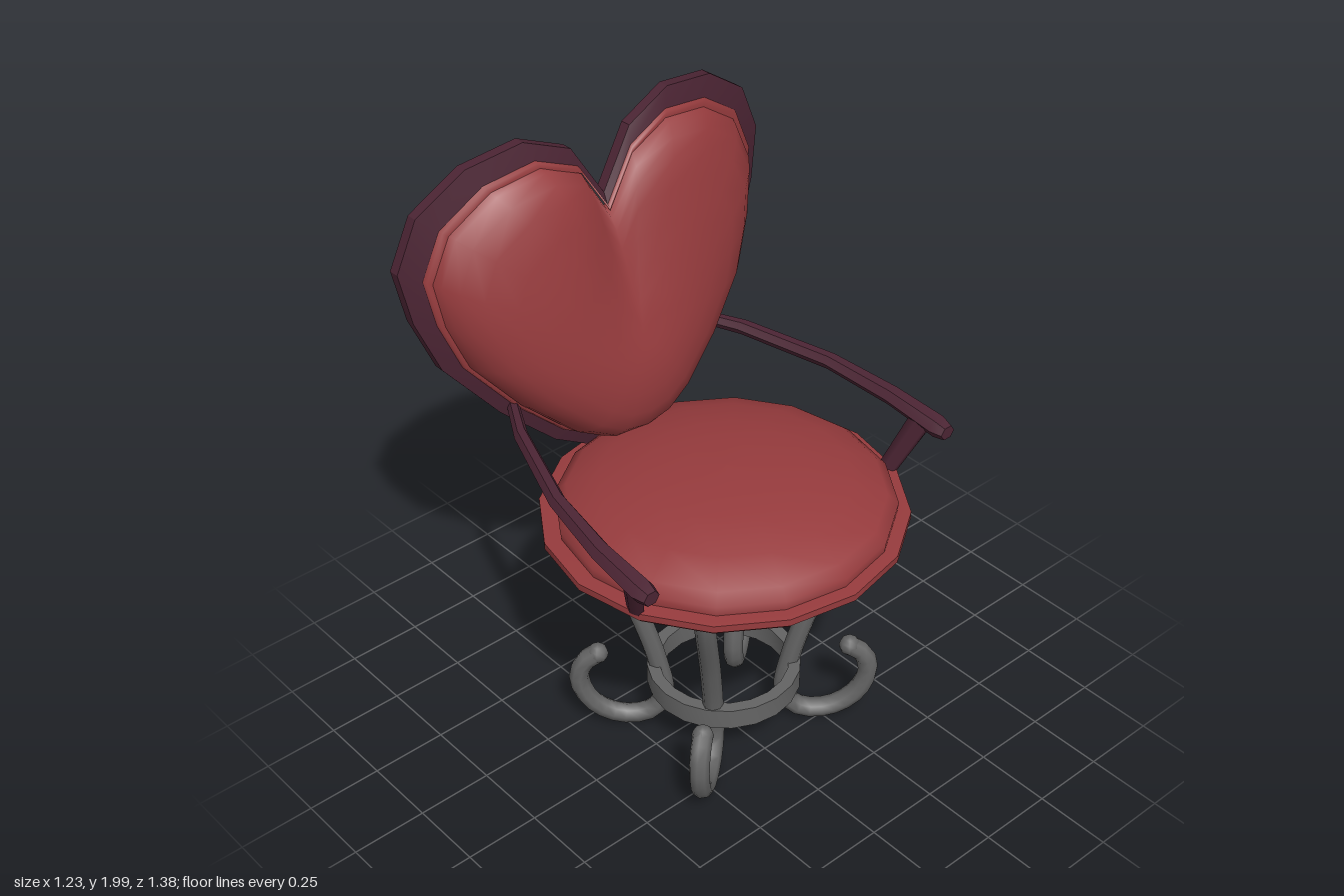
import * as THREE from 'three';
import { mergeVertices, toCreasedNormals } from 'three/addons/utils/BufferGeometryUtils.js';

const mat = (name, color) => {
  const m = new THREE.MeshStandardMaterial({ color });
  m.name = name;
  return m;
};

// Skin a list of closed rings (arrays of Vector3, counterclockwise about the direction of travel)
function loft(rings) {
  const n = rings[0].length, pos = [], idx = [];
  rings.forEach(r => r.forEach(p => pos.push(p.x, p.y, p.z)));
  for (let i = 0; i < rings.length - 1; i++) {
    for (let j = 0; j < n; j++) {
      const k = (j + 1) % n, a = i * n + j, b = i * n + k, c = b + n, d = a + n;
      idx.push(a, b, c, a, c, d);
    }
  }
  let g = new THREE.BufferGeometry();
  g.setAttribute('position', new THREE.Float32BufferAttribute(pos, 3));
  g.setIndex(idx);
  g = mergeVertices(g);
  g.computeVertexNormals();
  return g;
}

export function createModel() {
  const red = mat('red upholstery', 0x963b3d);
  const plum = mat('plum trim', 0x4b2433);
  const grey = mat('grey metal', 0x646464);
  const model = new THREE.Group();
  const add = (name, geometry, material, parent = model) => {
    const m = new THREE.Mesh(geometry, material);
    m.name = name;
    parent.add(m);
    return m;
  };
  const CX = 0.05; // centre of seat and legs
  const lathe = (pts, sides) =>
    new THREE.LatheGeometry(pts.map(p => new THREE.Vector2(...p)), sides);

  // Seat plate and domed cushion
  const plate = lathe([[0, 0.83], [0.3, 0.835], [0.555, 0.85], [0.57, 0.865], [0.57, 0.888], [0.53, 0.892], [0, 0.892]], 16);
  add('seatPlate', toCreasedNormals(plate, 0.6), red).position.x = CX;
  const dome = lathe([[0.52, 0.885], [0.525, 0.925], [0.49, 0.955], [0.39, 1.0], [0.25, 1.03], [0.12, 1.043], [0, 1.046]], 16);
  add('seatCushion', dome, red).position.x = CX + 0.008;

  // Heart outline as [z, y], mirrored across z = 0
  const half = [[0, 1.75], [0.11, 1.93], [0.27, 2.0], [0.46, 1.97], [0.62, 1.86], [0.69, 1.7],
    [0.66, 1.53], [0.59, 1.35], [0.42, 1.14], [0.24, 0.97], [0.12, 0.9], [0, 0.88]];
  const heart = [...half, ...half.slice(1, -1).reverse().map(([z, y]) => [-z, y])];
  const MID = 1.35;
  const backX = (y, z) => -0.5 - 0.035 * (y - 0.9) - 0.085 * (z / 0.69) ** 2;
  const heartRing = (s, depth, puff = false) => heart.map(([z0, y0]) => {
    const z = z0 * s, y = MID + (y0 - MID) * s;
    let d = depth;
    if (puff) {
      // fuller toward the seat, creased below the notch
      const crease = Math.exp(-((z / 0.12) ** 2)) * THREE.MathUtils.smoothstep(y, 1.2, 1.7);
      d *= (1 + 0.4 * THREE.MathUtils.clamp((1.75 - y) / 0.75, 0, 1)) * (1 - 0.4 * crease);
    }
    return new THREE.Vector3(backX(y, z) + d, y, z);
  });
  const backrest = new THREE.Group();
  backrest.name = 'backrest';
  model.add(backrest);
  add('backPanel', loft([0, 0.3, 0.6, 0.94].map(s => heartRing(s, 0))), red, backrest);
  const rim = loft([heartRing(0.94, 0), heartRing(1, 0.005), heartRing(1, 0.04), heartRing(0.9, 0.055)]);
  add('backRim', toCreasedNormals(rim, 0.5), plum, backrest);
  add('backLip', loft([heartRing(0.91, 0.05), heartRing(0.9, 0.065), heartRing(0.87, 0.065)]), red, backrest);
  const bulge = [[0.88, 0.055], [0.86, 0.085], [0.81, 0.115], [0.73, 0.143], [0.6, 0.162],
    [0.45, 0.172], [0.3, 0.176], [0.15, 0.176], [0, 0.176]];
  add('backCushion', loft(bulge.map(([s, d]) => heartRing(s, d, true))), red, backrest);

  // Armrests: six-sided tapering bars, each with a slanted post
  const hexRing = (x, y, z, h, w) => Array.from({ length: 6 }, (_, i) => {
    const a = (i + 0.5) * Math.PI / 3;
    return new THREE.Vector3(x, y + h * Math.cos(a), z + w * Math.sin(a));
  });
  // x, y, z, half height, half width
  const bar = [[-0.49, 1.155, 0.38, 0, 0], [-0.49, 1.155, 0.38, 0.022, 0.022], [-0.36, 1.145, 0.45, 0.025, 0.025],
    [-0.06, 1.118, 0.55, 0.027, 0.028], [0.18, 1.093, 0.585, 0.03, 0.034], [0.37, 1.073, 0.592, 0.034, 0.04],
    [0.41, 1.07, 0.592, 0.024, 0.028], [0.41, 1.07, 0.592, 0, 0]];
  for (const side of [1, -1]) {
    const arm = new THREE.Group();
    arm.name = side > 0 ? 'leftArmrest' : 'rightArmrest';
    model.add(arm);
    const rings = bar.map(([x, y, z, h, w]) => hexRing(x, y, z * side, h, w));
    add('armBar', toCreasedNormals(loft(rings), 0.6), plum, arm);
    const from = new THREE.Vector3(0.24, 0.885, 0.515 * side), to = new THREE.Vector3(0.31, 1.075, 0.58 * side);
    const dir = to.clone().sub(from);
    const post = add('armPost', new THREE.CylinderGeometry(0.04, 0.032, dir.length(), 6), plum, arm);
    post.geometry.scale(1, 1, 0.65);
    post.position.copy(from).add(to).multiplyScalar(0.5);
    post.quaternion.setFromUnitVectors(new THREE.Vector3(0, 1, 0), dir.normalize());
  }

  // Ring that ties the legs together
  const ring = lathe([[0.21, 0.19], [0.25, 0.19], [0.25, 0.262], [0.21, 0.262], [0.21, 0.19]], 20);
  add('legRing', toCreasedNormals(ring, 0.6), grey).position.x = CX;

  // Four legs with hooked feet, path as [distance from centre, height]
  const legPath = [[0.365, 0.86], [0.36, 0.72], [0.265, 0.45], [0.215, 0.27], [0.195, 0.13], [0.225, 0.065],
    [0.285, 0.04], [0.365, 0.053], [0.435, 0.11], [0.468, 0.2], [0.45, 0.27], [0.405, 0.305]];
  for (const sx of [1, -1]) for (const sz of [1, -1]) {
    const leg = new THREE.Group();
    leg.name = (sx > 0 ? 'front' : 'back') + (sz > 0 ? 'Left' : 'Right') + 'Leg';
    model.add(leg);
    const pts = legPath.map(([r, y]) => new THREE.Vector3(CX + sx * r * 0.63, y, sz * r * 0.78));
    add('legTube', new THREE.TubeGeometry(new THREE.CatmullRomCurve3(pts, false, 'centripetal'), 32, 0.033, 8), grey, leg);
    add('footTip', new THREE.SphereGeometry(0.035, 8, 6), grey, leg).position.copy(pts.at(-1));
  }
  return model;
}
